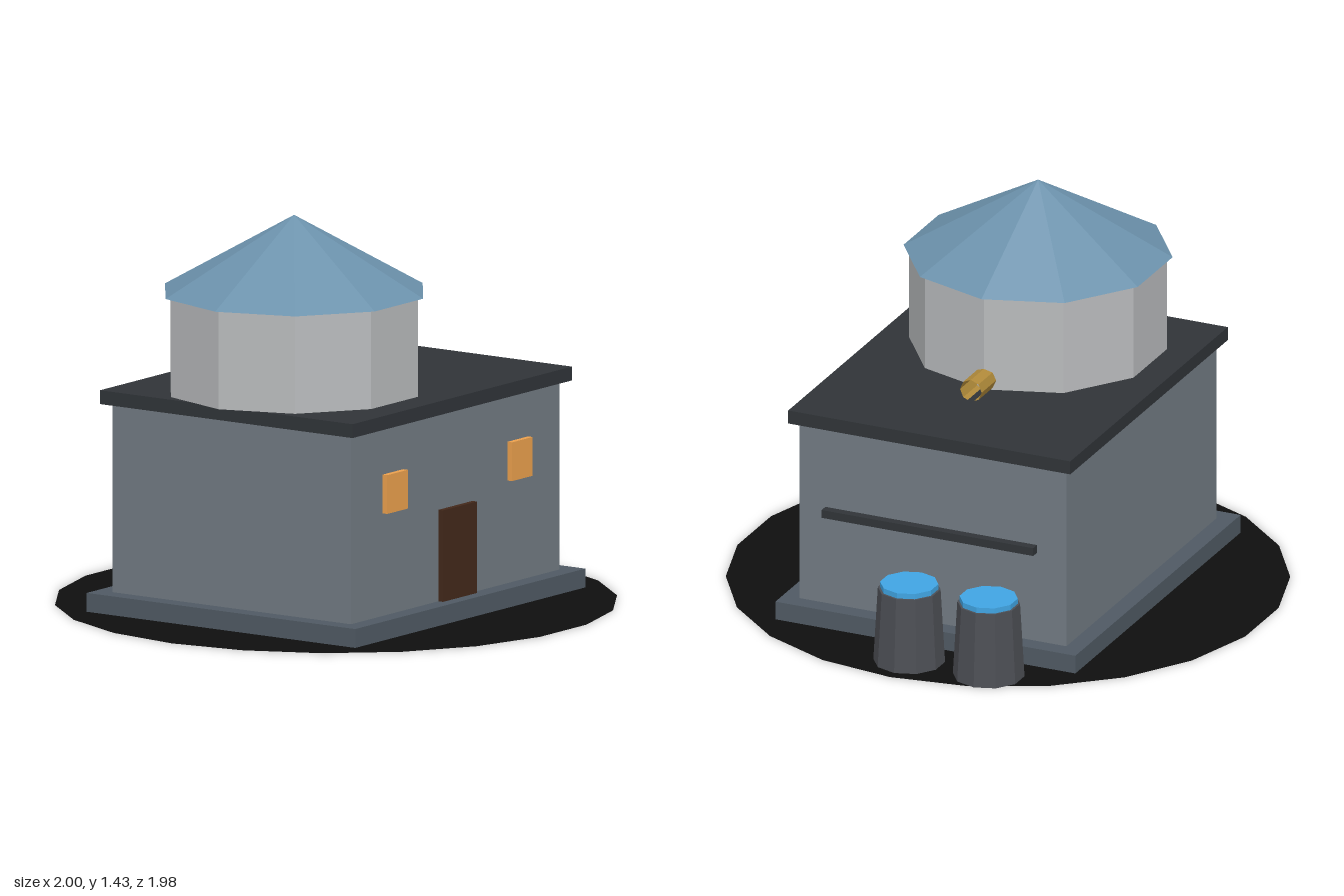
import * as THREE from 'three';

export function createModel() {
  const model = new THREE.Group();
  const mat = (color, side = THREE.FrontSide) =>
    new THREE.MeshStandardMaterial({ color, flatShading: true, side });
  const slate = mat(0x4f5963), wall = mat(0x717a82), dark = mat(0x303438);
  const stone = mat(0xb8babc), roofBlue = mat(0x6c92ac), wood = mat(0x42281a);
  const amber = mat(0xeba04d), brass = mat(0xb08a3a, THREE.DoubleSide);
  const iron = mat(0x4c4e54), water = mat(0x40a4e2);
  const soil = mat(0x0e0e0e, THREE.DoubleSide);

  const add = (name, geometry, material, x, y, z, parent = model) => {
    const mesh = new THREE.Mesh(geometry, material);
    mesh.name = name;
    mesh.position.set(x, y, z);
    parent.add(mesh);
    return mesh;
  };
  // Box given by its size and the height of its underside
  const box = (name, material, w, h, d, x, y, z) =>
    add(name, new THREE.BoxGeometry(w, h, d), material, x, y + h / 2, z);
  // Ten-sided drum with a corner pointing along x
  const drum = (name, material, rTop, rBottom, h, x, y, z, parent) =>
    add(name, new THREE.CylinderGeometry(rTop, rBottom, h, 10, 1, false, Math.PI / 2),
      material, x, y + h / 2, z, parent);

  // Flat ground ring, open under the building
  add('ground', new THREE.RingGeometry(0.45, 1, 22).rotateX(-Math.PI / 2), soil, 0, 0, 0);

  // Main building
  box('foundation', slate, 1.4, 0.068, 1.17, 0, 0.002, 0);
  box('walls', wall, 1.27, 0.68, 1.04, 0, 0.07, 0);
  box('roofSlab', dark, 1.335, 0.05, 1.1, 0, 0.75, 0);
  box('door', wood, 0.206, 0.33, 0.03, 0, 0.07, 0.525);
  for (const s of [-1, 1]) {
    box(s < 0 ? 'rightWindow' : 'leftWindow', amber, 0.125, 0.14, 0.025, s * 0.38, 0.44, 0.5275);
  }
  box('sideRail', dark, 0.032, 0.03, 0.825, 0.667, 0.417, 0);

  // Tower with its pointed roof and brass tube
  drum('tower', stone, 0.46, 0.46, 0.355, -0.255, 0.8, 0);
  drum('towerRoof', roofBlue, 0, 0.48, 0.275, -0.255, 1.155, 0);
  add('brassTube', new THREE.CylinderGeometry(0.042, 0.042, 0.17, 8, 1, true)
    .rotateZ(-Math.PI / 2), brass, 0.23, 0.837, 0);

  // Water barrels
  for (const z of [0, -0.31]) {
    const barrel = new THREE.Group();
    barrel.name = 'barrel';
    barrel.position.set(0.837, 0, z);
    drum('barrelBody', iron, 0.112, 0.128, 0.278, 0, 0.002, 0, barrel);
    drum('barrelWater', water, 0.104, 0.104, 0.02, 0, 0.28, 0, barrel);
    model.add(barrel);
  }
  return model;
}
